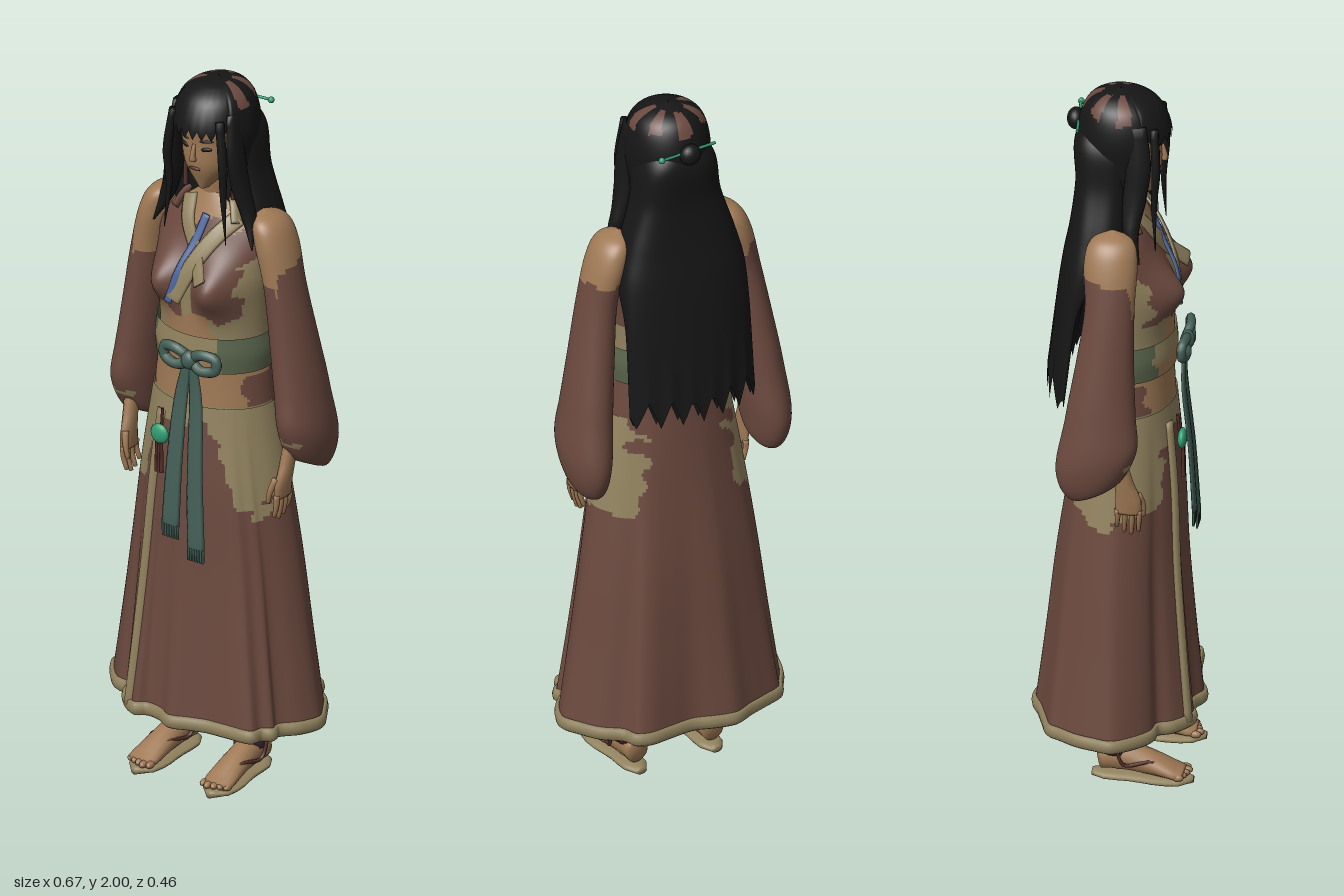
import * as THREE from 'three';

const paintOf = (name, color) => {
  const m = new THREE.MeshStandardMaterial({ color, side: THREE.DoubleSide });
  m.name = name;
  return m;
};
const V = (p) => new THREE.Vector3(...p);
const noise = (p) => Math.sin(p.x * 61 + p.y * 23) * 0.5 + Math.sin(p.y * 83 - p.x * 37 + p.z * 29) * 0.5;

export function createModel() {
  const hair = paintOf('hair black', 0x161616), robe = paintOf('robe brown', 0x6b493e);
  const trim = paintOf('trim tan', 0x92835f), skin = paintOf('skin', 0x9f7955);
  const sash = paintOf('sash teal', 0x435f56), jade = paintOf('jade', 0x2f9c70);
  const blue = paintOf('lining blue', 0x4a659c), purple = paintOf('legging purple', 0x4a2f40);
  const red = paintOf('dark red', 0x55302a), olive = paintOf('belt olive', 0x59644c);
  const model = new THREE.Group();

  function add(name, geo, mat, pos = [0, 0, 0], scale = [1, 1, 1], rot = [0, 0, 0]) {
    const m = new THREE.Mesh(geo, mat);
    m.name = name;
    m.position.set(...pos); m.scale.set(...scale); m.rotation.set(...rot);
    model.add(m);
    return m;
  }

  // Closed skin over point(u, v); paint is one material or a rule choosing one per quad
  function grid(name, nu, nv, at, paint) {
    const pts = [], buckets = new Map();
    for (let j = 0; j <= nv; j++) for (let i = 0; i < nu; i++) pts.push(at(i / nu, j / nv));
    for (let j = 0; j < nv; j++) for (let i = 0; i < nu; i++) {
      const k = (i + 1) % nu, a = j * nu + i, b = j * nu + k, c = a + nu, d = b + nu;
      const mid = pts[a].clone().add(pts[d]).multiplyScalar(0.5);
      const m = typeof paint === 'function' ? paint(mid) : paint;
      if (!buckets.has(m)) buckets.set(m, []);
      buckets.get(m).push(a, b, d, a, d, c);
    }
    const geo = new THREE.BufferGeometry().setFromPoints(pts), index = [];
    [...buckets.values()].forEach((list, n) => {
      geo.addGroup(index.length, list.length, n);
      for (const i of list) index.push(i);
    });
    geo.setIndex(index);
    geo.computeVertexNormals();
    return add(name, geo, [...buckets.keys()]);
  }

  // Upright body from keys [y, cx, cz, half width, front depth, back depth], bottom to top
  function loft(keys, warp = () => {}, power = 1) {
    const f = new THREE.CubicInterpolant(keys.map((_, i) => i), keys.flat(), 6);
    const pw = (s) => Math.sign(s) * Math.abs(s) ** power;
    return (u, v) => {
      const [y, cx, cz, rx, zf, zb] = f.evaluate(v * (keys.length - 1));
      const a = u * Math.PI * 2, c = pw(Math.cos(a));
      const p = new THREE.Vector3(cx + rx * pw(Math.sin(a)), y, cz + (c > 0 ? zf : zb) * c);
      warp(p, a, v);
      return p;
    };
  }
  // Point on the front of a loft whose keys are evenly spaced in y
  function onFront(at, y0, y1, x, y, lift = 0) {
    const v = (y - y0) / (y1 - y0), rx = at(0.25, v).x;
    return [x, y, at((Math.asin(x / rx) / (Math.PI * 2) + 1) % 1, v).z + lift];
  }

  // Oval section [width, depth] swept along a smooth path, with closed ends
  function sweep(name, mat, path, radii, ref = [0, 0, 1], n = 10, rows = 16) {
    const curve = new THREE.CatmullRomCurve3(path.map(V));
    return grid(name, n, rows + 2, (u, v) => {
      const j = Math.round(v * (rows + 2)), t = Math.min(Math.max((j - 1) / rows, 0), 1);
      const k = j === 0 || j === rows + 2 ? 0 : 1, r = t * (radii.length - 1);
      const i = Math.min(Math.floor(r), Math.max(radii.length - 2, 0)), e = radii[Math.min(i + 1, radii.length - 1)];
      const T = curve.getTangent(t), S = T.clone().cross(V(ref)).normalize(), D = T.clone().cross(S);
      const w = THREE.MathUtils.lerp(radii[i][0], e[0], r - i), d = THREE.MathUtils.lerp(radii[i][1], e[1], r - i);
      return curve.getPoint(t).addScaledVector(S, k * w * Math.cos(u * Math.PI * 2))
        .addScaledVector(D, k * d * Math.sin(u * Math.PI * 2));
    }, mat);
  }

  // Skirt: folds of the hem outline fade out towards the waist
  const hemOutline = new THREE.CatmullRomCurve3([
    [0, 0.222], [0.05, 0.205], [0.1, 0.19], [0.16, 0.185], [0.235, 0.175], [0.245, 0.145], [0.27, 0.125], [0.265, 0.1],
    [0.305, 0.05], [0.325, -0.01], [0.3, -0.06], [0.265, -0.11], [0.215, -0.15], [0.2, -0.185], [0.165, -0.2], [0.1, -0.195],
    [0.03, -0.19], [-0.03, -0.208], [-0.085, -0.217], [-0.14, -0.195], [-0.19, -0.178], [-0.25, -0.155], [-0.265, -0.13],
    [-0.295, -0.08], [-0.312, -0.03], [-0.322, 0.02], [-0.285, 0.08], [-0.245, 0.115], [-0.205, 0.125], [-0.185, 0.165],
    [-0.12, 0.212], [-0.09, 0.195], [-0.045, 0.2],
  ].map(([x, z]) => new THREE.Vector3(x, 0, z)), true);
  const coneAt = loft([[0.19, 0, 0, 0.33, 0.22, 0.22], [0.4175, 0, 0, 0.292, 0.199, 0.193], [0.645, 0, 0, 0.257, 0.181, 0.168],
    [0.8725, 0, 0.005, 0.22, 0.165, 0.141], [1.1, 0, 0.01, 0.178, 0.138, 0.118]]);
  const skirtAt = (u, v) => {
    const h = hemOutline.getPoint(u), x = h.x / 0.33, z = h.z / 0.22;
    const p = coneAt(Math.atan2(x, z) / (Math.PI * 2), v), w = THREE.MathUtils.lerp(Math.hypot(x, z), 1, v);
    return p.set(p.x * w, p.y, p.z * w);
  };
  grid('skirt', 165, 84, skirtAt, (p) => {
    const n = noise(p) * 0.035, side = Math.abs(p.x);
    if (p.z > 0 && p.y > 1.035 + n) return trim;
    const inner = p.z > 0 ? 0.1 : 0.135;
    return p.y > 0.82 + n + Math.max(0, 0.16 - side) * 3 && side > inner + n ? trim : robe;
  });
  const hemCurve = new THREE.CatmullRomCurve3(Array.from({ length: 132 }, (_, i) => skirtAt(i / 132, 0)), true);
  add('hem', new THREE.TubeGeometry(hemCurve, 264, 0.009, 8, true), trim, [0, -0.22, 0], [1, 2.2, 1]);
  const slit = [0.01, 0.25, 0.5, 0.75, 0.95].map((v) => skirtAt(0.897, v).toArray());
  sweep('skirt edging', trim, slit, [[0.016, 0.012]], [0, 0, 1], 8, 30);

  // Bodice
  const torsoAt = loft([
    [1.08, 0, 0.01, 0.176, 0.135, 0.12], [1.18, 0, 0.01, 0.165, 0.13, 0.11], [1.28, 0, 0.01, 0.156, 0.13, 0.1],
    [1.38, 0, 0.01, 0.16, 0.13, 0.1], [1.48, 0, 0.005, 0.168, 0.125, 0.1], [1.58, 0, 0, 0.16, 0.09, 0.09],
    [1.68, 0, 0, 0.055, 0.05, 0.05],
  ], (p) => {
    if (p.z > 0) p.z += 0.058 * Math.exp(-(((Math.abs(p.x) - 0.085) / 0.054) ** 2) - ((p.y - 1.44) / 0.068) ** 2);
  });
  const torsoFront = (x, y, lift) => onFront(torsoAt, 1.08, 1.68, x, y, lift);
  grid('bodice', 120, 84, torsoAt, (p) => {
    const n = noise(p) * 0.02, side = Math.abs(p.x);
    if (p.z < 0) return p.y > 1.2 && p.y < 1.36 + n ? trim : robe;
    if (p.y < 1.1) return trim;
    if (p.y < 1.25) return side > 0.145 + n && p.y < 1.19 ? robe : skin;
    if (p.y < 1.36 + n) return side < 0.07 + n ? skin : trim;
    if (p.y > 1.61 + n) return skin;
    return side < 0.14 + n && side > 0.015 || p.y > 1.52 + n ? robe : trim;
  });
  const band = (name, mat, xy, w, lift) =>
    sweep(name, mat, xy.map(([x, y]) => torsoFront(x, y, lift)), [[w, 0.005]], [0, 0, 1], 8, 24);
  band('blue lining', blue, [[0.02, 1.63], [0.005, 1.56], [-0.02, 1.48], [-0.045, 1.39]], 0.012, 0.012);
  band('under collar', trim, [[-0.055, 1.66], [-0.035, 1.6], [0.015, 1.53], [0.06, 1.47]], 0.023, 0.008);
  band('over collar', trim, [[0.1, 1.63], [0.06, 1.58], [0.015, 1.5], [-0.03, 1.4]], 0.023, 0.014);
  for (const s of [-1, 1])
    sweep('neck collar', s > 0 ? trim : robe, [[s * 0.1, 1.61, 0.05], [s * 0.075, 1.66, 0.02], [s * 0.03, 1.68, -0.05]], [[0.012, 0.025]]);

  // Belt, bow and hanging tails
  grid('belt', 80, 16, loft([[1.2, 0, 0.01, 0.168, 0.138, 0.116], [1.25, 0, 0.01, 0.172, 0.14, 0.116], [1.3, 0, 0.01, 0.165, 0.136, 0.108]]),
    (p) => {
      const n = noise(p) * 0.025;
      if (p.z < 0 || p.x > 0.09 + n || p.x < -0.125 + n) return olive;
      return p.y < 1.245 + n ? skin : trim;
    });
  for (const s of [-1, 1])
    sweep('bow loop', sash, [[0.03, 1.245, 0.165], [0.03 + s * 0.04, 1.268, 0.175], [0.03 + s * 0.082, 1.262, 0.168],
      [0.03 + s * 0.082, 1.233, 0.168], [0.03 + s * 0.04, 1.222, 0.175], [0.03, 1.24, 0.165]], [[0.015, 0.013]], [0, 0, 1], 8, 28);
  add('bow knot', new THREE.SphereGeometry(0.024, 16, 12), sash, [0.03, 1.243, 0.172], [1, 1.1, 0.8]);
  const tails = [[[0.02, 1.23, 0.165], [0, 1.13, 0.166], [-0.008, 0.95, 0.185], [-0.013, 0.76, 0.197]],
    [[0.035, 1.23, 0.165], [0.045, 1.13, 0.164], [0.056, 0.92, 0.183], [0.068, 0.71, 0.195]]];
  for (const t of tails) {
    sweep('sash tail', sash, t, [[0.015, 0.006], [0.024, 0.006], [0.029, 0.006]], [0, 0, 1], 8);
    const [x, y, z] = t[3];
    for (let i = -3; i <= 3; i++) add('sash fringe', new THREE.CylinderGeometry(0.004, 0.003, 0.04, 6), sash, [x + i * 0.008, y - 0.018, z]);
  }

  // Jade pendant and tassel
  add('pendant', new THREE.SphereGeometry(0.028, 20, 14), jade, [-0.066, 1.0, 0.172], [1, 1, 0.45]);
  add('pendant cord', new THREE.CylinderGeometry(0.004, 0.004, 0.06, 6), red, [-0.066, 1.04, 0.162], [1, 1, 1], [-0.1, 0, 0]);
  for (let i = -1; i <= 1; i++) add('tassel', new THREE.CylinderGeometry(0.004, 0.006, 0.09, 6), red, [-0.066 + i * 0.008, 0.935, 0.175]);

  // Sleeves, hands, legs and sandals
  for (const s of [-1, 1]) {
    const X = (p) => [p[0] * s, p[1], p[2]];
    grid('sleeve', 64, 80, loft([
      [0.94, s * 0.265, -0.02, 0.002, 0.002, 0.002], [0.945, s * 0.268, -0.025, 0.045, 0.065, 0.07],
      [1.03, s * 0.271, -0.025, 0.063, 0.105, 0.11], [1.15, s * 0.258, -0.02, 0.062, 0.095, 0.092],
      [1.3, s * 0.238, -0.01, 0.057, 0.078, 0.076], [1.45, s * 0.216, 0, 0.051, 0.066, 0.066],
      [1.57, s * 0.188, 0, 0.05, 0.07, 0.072], [1.63, s * 0.167, 0, 0.039, 0.056, 0.056], [1.655, s * 0.15, 0, 0.002, 0.002, 0.002],
    ], (p) => { p.y += Math.max(0, 1.2 - p.y) * (p.z + 0.02) * 1.9; }), (p) => {
      const n = noise(p) * 0.03;
      if (p.z > 0.05 && Math.abs(p.y - 1.02) < 0.008) return trim;
      return p.y > (p.z > 0.03 && Math.abs(p.x) < 0.235 ? 1.45 : 1.53) + n ? skin : robe;
    });
    sweep('hand', skin, [[0.26, 1.02, 0.03], [0.255, 0.95, 0.045], [0.252, 0.9, 0.055], [0.25, 0.865, 0.055]].map(X),
      [[0.018, 0.022], [0.018, 0.026], [0.015, 0.036], [0.012, 0.036]]);
    for (let i = 0; i < 4; i++) {
      const z = 0.026 + i * 0.019, l = [0.05, 0.065, 0.07, 0.06][i];
      sweep('finger', skin, [[0.25, 0.875, z], [0.249, 0.875 - l * 0.5, z], [0.24, 0.87 - l, z - 0.003]].map(X), [[0.009, 0.009], [0.006, 0.006]], [0, 0, 1], 7, 6);
    }
    sweep('thumb', skin, [[0.245, 0.92, 0.08], [0.235, 0.885, 0.092], [0.228, 0.85, 0.092]].map(X), [[0.01, 0.01], [0.006, 0.006]], [1, 0, 0], 7, 6);

    sweep('legging', purple, [[0.115, 0.08, 0.005], [0.115, 0.3, 0.005], [0.11, 0.6, 0.005]].map(X), [[0.037, 0.042], [0.05, 0.055], [0.07, 0.07]], [0, 0, 1], 16);
    for (const y of [0.2, 0.25])
      add('ankle wrap', new THREE.TorusGeometry(0.045, 0.007, 8, 20), olive, [s * 0.115, y, 0.005], [1, 1, 1.6], [Math.PI / 2, 0, 0]);
    sweep('foot', skin, [[0.114, 0.06, -0.04], [0.115, 0.07, 0.01], [0.118, 0.055, 0.09], [0.122, 0.035, 0.16], [0.123, 0.03, 0.185]].map(X),
      [[0.03, 0.035], [0.036, 0.045], [0.039, 0.033], [0.045, 0.018], [0.04, 0.012]], [0, 1, 0], 14);
    for (let i = 0; i < 5; i++)
      add('toe', new THREE.SphereGeometry(0.011, 10, 8), skin, [s * (0.088 + i * 0.017), 0.03, 0.19 - Math.abs(i - 1) * 0.006], [0.9, 0.9, 1.5]);
    sweep('sandal sole', trim, [[0.114, 0.012, -0.06], [0.115, 0.012, 0.03], [0.119, 0.012, 0.12], [0.122, 0.012, 0.21]].map(X),
      [[0.016, 0.01], [0.035, 0.012], [0.038, 0.012], [0.038, 0.012], [0.042, 0.012], [0.048, 0.012], [0.049, 0.012], [0.043, 0.012], [0.01, 0.01]], [0, 1, 0], 14, 24);
    for (const e of [-1, 1])
      sweep('sandal strap', red, [[0.12, 0.035, 0.165], [0.119 + e * 0.03, 0.068, 0.1], [0.117 + e * 0.044, 0.06, 0.03], [0.116 + e * 0.052, 0.115, 0.01]].map(X), [[0.005, 0.005]], [0, 1, 0], 6);
  }

  // Head, neck and face
  sweep('neck', skin, [[0, 1.58, -0.005], [0, 1.66, 0.005], [0, 1.75, 0.02]], [[0.05, 0.045], [0.042, 0.042]], [0, 0, 1], 18);
  const headAt = loft([[1.7, 0, 0.06, 0.012, 0.02, 0.02], [1.77, 0, 0.03, 0.069, 0.076, 0.07], [1.84, 0, 0.02, 0.081, 0.09, 0.09],
    [1.91, 0, 0.02, 0.08, 0.09, 0.09], [1.98, 0, 0.02, 0.01, 0.01, 0.01]]);
  grid('head', 40, 30, headAt, skin);
  const feature = (name, mat, x, y, w, h, tilt = 0) =>
    add(name, new THREE.SphereGeometry(1, 12, 8), mat, onFront(headAt, 1.7, 1.98, x, y, 0.001), [w, h, 0.004], [0, x * 8, tilt]);
  for (const s of [-1, 1]) {
    feature('eye', hair, s * 0.035, 1.83, 0.016, 0.006, s * 0.15);
    feature('eyebrow', hair, s * 0.036, 1.854, 0.02, 0.004, s * 0.12);
    add('earring', new THREE.CylinderGeometry(0.005, 0.007, 0.07, 8), red, [s * 0.078, 1.71, 0.04]);
  }
  feature('mouth', red, 0, 1.768, 0.018, 0.005);
  sweep('nose', skin, [[0, 1.84, 0.108], [0, 1.81, 0.116], [0, 1.795, 0.115]], [[0.005, 0.006], [0.01, 0.009]], [0, 0, 1], 8, 6);

  // Hair cap with cut fringe and parted streaks on the crown
  const capAt = loft([[1.7, 0, -0.01, 0.098, 0.09, 0.1], [1.8, 0, 0.005, 0.108, 0.115, 0.115], [1.88, 0, 0.008, 0.113, 0.127, 0.125],
    [1.95, 0, 0.005, 0.097, 0.105, 0.103], [1.985, 0, 0, 0.06, 0.065, 0.065], [2, 0, 0, 0.002, 0.002, 0.002]]);
  grid('hair cap', 112, 44, (u, v) => {
    const c = Math.cos(u * Math.PI * 2), zig = Math.abs(((u * 28) % 1) - 0.5) * 0.13;
    const v0 = c > 0.55 ? 0.36 + zig : 0.08;
    return capAt(u, v0 + (1 - v0) * v);
  }, (p) => {
    const a = Math.atan2(p.x, -p.z), r = Math.hypot(p.x, p.z), n = noise(p) * 0.015;
    return p.y > 1.88 && r > 0.035 + n && r < 0.098 + n * 0.5 && Math.abs(a) < 2.2 && Math.cos(a * 7) > 0.15 ? robe : hair;
  });

  // Long back hair, curving around the back, with pointed ends
  grid('back hair', 128, 48, loft([[1.17, 0, -0.175, 0.188, 0.012, 0.018], [1.4, 0, -0.135, 0.184, 0.03, 0.032], [1.52, 0, -0.09, 0.182, 0.07, 0.06],
    [1.62, 0, -0.055, 0.16, 0.087, 0.076], [1.74, 0, -0.035, 0.123, 0.073, 0.082], [1.86, 0, -0.02, 0.104, 0.06, 0.1], [1.94, 0, -0.02, 0.04, 0.03, 0.05]],
  (p, a, v) => {
    const saw = Math.abs(((p.x * 17 + 20) % 1) - 0.5) * 2;
    p.y -= Math.max(0, 1 - v * 7) * (0.08 * saw - 0.03);
    p.z += Math.max(0, 1 - v * 1.6) * 1.3 * p.x * p.x;
  }, 0.7), hair);

  // Loose locks framing the face
  for (const s of [-1, 1]) {
    sweep('side lock', hair, [[s * 0.088, 1.93, 0.05], [s * 0.1, 1.82, 0.06], [s * 0.11, 1.72, 0.05], [s * 0.132, 1.64, 0.045], [s * 0.16, 1.56, 0.07]],
      [[0.012, 0.03], [0.018, 0.035], [0.022, 0.032], [0.02, 0.022], [0.002, 0.002]]);
    sweep('thin lock', hair, [[s * 0.075, 1.92, 0.098], [s * 0.09, 1.8, 0.105], [s * 0.088, 1.7, 0.1], [s * 0.1, 1.57, 0.105]],
      [[0.012, 0.012], [0.013, 0.012], [0.009, 0.008], [0.001, 0.001]]);
  }

  // Bun and jade hairpin
  add('bun', new THREE.SphereGeometry(0.03, 18, 12), hair, [0, 1.9, -0.12], [1, 1, 0.8]);
  add('hairpin', new THREE.CylinderGeometry(0.004, 0.004, 0.17, 8), jade, [0.002, 1.905, -0.112], [1, 1, 1], [0, 0.08, Math.PI / 2]);
  add('hairpin bead', new THREE.SphereGeometry(0.009, 12, 8), jade, [0.085, 1.905, -0.118]);
  return model;
}
